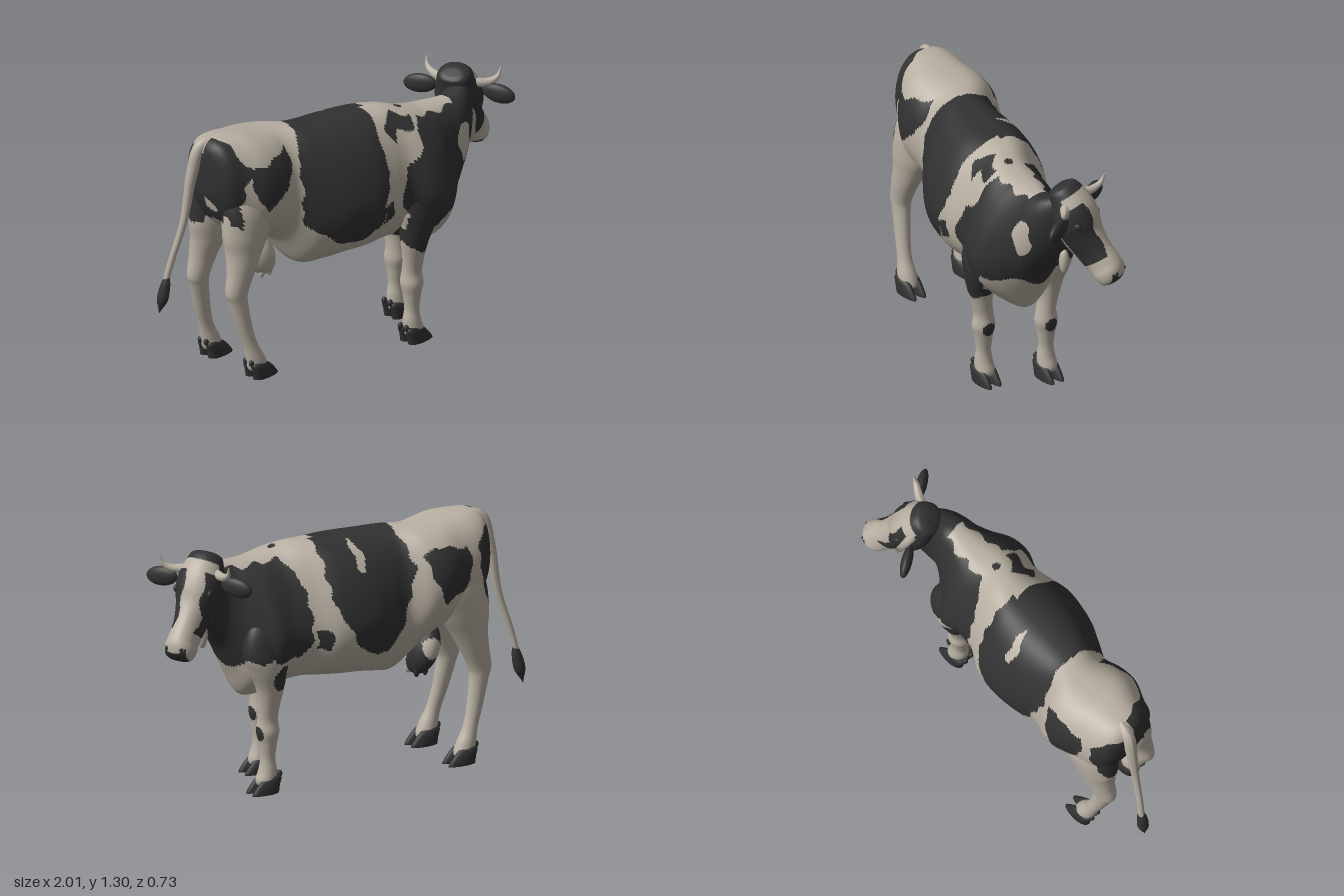
import * as THREE from 'three';

const cream = new THREE.MeshStandardMaterial({ color: 0xb8afa2 });
cream.name = 'cream';
const black = new THREE.MeshStandardMaterial({ color: 0x313131 });
black.name = 'black';

// Smooth interpolation through rows of numbers, t from 0 to 1
function sample(rows, t) {
  const f = t * (rows.length - 1), i = Math.min(Math.floor(f), rows.length - 2), u = f - i;
  const a = rows[Math.max(i - 1, 0)], b = rows[i], c = rows[i + 1], d = rows[Math.min(i + 2, rows.length - 1)];
  return b.map((p, k) => p + 0.5 * u * (c[k] - a[k] + u * (2 * a[k] - 5 * p + 4 * c[k] - d[k] + u * (3 * (p - c[k]) + d[k] - a[k]))));
}

// Closed skin over rings; place(row, angle) gives each point
function loft(rows, steps, sides, place) {
  const pos = [], idx = [];
  for (let i = 0; i <= steps; i++) {
    const row = sample(rows, i / steps);
    for (let j = 0; j < sides; j++) pos.push(...place(row, j / sides * Math.PI * 2));
  }
  for (let i = 0; i < steps; i++) for (let j = 0; j < sides; j++) {
    const a = i * sides + j, b = i * sides + (j + 1) % sides;
    idx.push(a, b, a + sides, b, b + sides, a + sides);
  }
  for (const start of [0, steps * sides]) {
    const centre = [0, 0, 0], c = pos.length / 3;
    for (let j = 0; j < sides; j++) for (let k = 0; k < 3; k++) centre[k] += pos[(start + j) * 3 + k] / sides;
    pos.push(...centre);
    for (let j = 0; j < sides; j++) {
      const a = start + j, b = start + (j + 1) % sides;
      if (start) idx.push(a, b, c); else idx.push(b, a, c);
    }
  }
  // Turn the skin outwards
  const P = (i) => new THREE.Vector3().fromArray(pos, i * 3);
  let volume = 0;
  for (let i = 0; i < idx.length; i += 3) volume += P(idx[i]).dot(P(idx[i + 1]).cross(P(idx[i + 2])));
  if (volume < 0) idx.reverse();
  const g = new THREE.BufferGeometry();
  g.setAttribute('position', new THREE.Float32BufferAttribute(pos, 3));
  g.setIndex(idx);
  g.computeVertexNormals();
  return g;
}

// Sort faces into cream and black by a rule on the face centre
function paint(g, isBlack) {
  const p = g.attributes.position, old = g.index.array, sets = [[], []];
  for (let i = 0; i < old.length; i += 3) {
    const f = [old[i], old[i + 1], old[i + 2]];
    const m = (get) => (get(f[0]) + get(f[1]) + get(f[2])) / 3;
    sets[isBlack(m((k) => p.getX(k)), m((k) => p.getY(k)), m((k) => p.getZ(k))) ? 1 : 0].push(...f);
  }
  g.setIndex([...sets[0], ...sets[1]]);
  g.addGroup(0, sets[0].length, 0);
  g.addGroup(sets[0].length, sets[1].length, 1);
  return g;
}

function add(parent, name, geometry, material) {
  const m = new THREE.Mesh(geometry, material);
  m.name = name;
  parent.add(m);
  return m;
}

function ball(parent, name, material, at, size) {
  const m = add(parent, name, new THREE.SphereGeometry(1, 24, 16), material);
  m.position.set(...at);
  m.scale.set(...size);
  return m;
}

// Tube whose radius follows a list
function taper(points, radii, n = 36) {
  const curve = new THREE.CatmullRomCurve3(points.map((p) => new THREE.Vector3(...p)));
  const g = new THREE.TubeGeometry(curve, n, 1, 12), p = g.attributes.position, v = new THREE.Vector3();
  for (let i = 0; i < p.count; i++) {
    const t = Math.floor(i / 13) / n, c = curve.getPointAt(t);
    v.fromBufferAttribute(p, i).sub(c).multiplyScalar(sample(radii.map((r) => [r]), t)[0]).add(c);
    p.setXYZ(i, v.x, v.y, v.z);
  }
  g.computeVertexNormals();
  return g;
}

// Coat patches as side outlines in x, y
const leftPatches = [
  [[-.83, 1.3], [-.71, 1.28], [-.7, 1.2], [-.66, 1.15], [-.52, 1.18], [-.42, 1.21], [-.43, 1.08], [-.5, 1], [-.58, .93], [-.65, .98], [-.67, 1.12], [-.7, 1.08], [-.73, .85], [-.77, .86], [-.83, 1.1]],
  [[-.38, 1.14], [-.3, 1.3], [.1, 1.3], [.06, 1.1], [.05, 1.05], [.07, .98], [.02, .9], [0, .73], [-.07, .66], [-.18, .65], [-.29, .72], [-.38, .82]],
  [[.12, 1.19], [.2, 1.23], [.29, 1.2], [.29, 1.14], [.2, 1.16], [.16, 1.1]],
  [[.01, .84], [.07, .84], [.07, .75], [.01, .74]],
  [[.2, .98], [.28, 1.05], [.3, 1.13], [.33, 1.19], [.42, 1.175], [.5, 1.17], [.58, 1.18], [.62, 1.3], [.9, 1.3], [.9, .7], [.53, .68], [.42, .71], [.36, .66], [.33, .52], [.28, .5], [.19, .54], [.17, .65], [.19, .72], [.13, .8], [.15, .9]],
];
const rightPatches = [
  [[-.83, 1.23], [-.74, 1.22], [-.68, 1.15], [-.7, 1], [-.76, .8], [-.83, .76]],
  [[-.38, 1.14], [-.45, 1.19], [-.62, 1.16], [-.64, 1.05], [-.58, .95], [-.48, .9], [-.42, 1]],
  [[.12, 1.3], [.13, 1.1], [.11, .95], [.03, .8], [-.05, .7], [-.17, .68], [-.25, .8], [-.3, .95], [-.34, 1.1], [-.3, 1.3]],
  [[.14, .85], [.2, .84], [.2, .74], [.13, .75]],
  [[.62, 1.3], [.58, 1.18], [.5, 1.17], [.3, 1.19], [.24, 1.1], [.22, .95], [.22, .8], [.27, .71], [.42, .7], [.53, .68], [.9, .7], [.9, 1.3]],
];
const spots = [[.46, .31, -.06, .038], [.32, .31, .22, .038], [.36, .61, -.17, .07], [.285, 1.225, .085, .02]];

function inside(poly, x, y) {
  let hit = false;
  poly.forEach(([ax, ay], i) => {
    const [bx, by] = poly[(i + 1) % poly.length];
    if ((ay > y) !== (by > y) && x < ax + (y - ay) / (by - ay) * (bx - ax)) hit = !hit;
  });
  return hit;
}

const oval = (x, y, cx, cy, rx, ry) => ((x - cx) / rx) ** 2 + ((y - cy) / ry) ** 2 < 1;

function coat(left, x, y, z) {
  if (spots.some(([a, b, c, r]) => Math.hypot(x - a, y - b, z - c) < r)) return true;
  x += .008 * Math.sin(y * 47 + z * 20);
  y += .008 * Math.sin(x * 53 + 1);
  // Pointed lower edge across the chest
  if (x > .42 && y < .85) y += .035 * Math.cos((z - .06) * 18);
  if (left && oval(x, y, .6, .99, .05, .1)) return false;
  if (!left && oval(x, y, -.06, 1.17, .025, .07)) return false;
  return (left ? leftPatches : rightPatches).some((p) => inside(p, x, y));
}

// Trunk and neck: x, centre z, half width, top, bottom, narrowing upwards, pinch below
const trunk = [
  [-.81, -.13, .04, 1.2, 1.05, 0, 0], [-.8, -.13, .1, 1.25, .98, 0, 0], [-.765, -.13, .165, 1.285, .88, .02, 0],
  [-.7, -.13, .2, 1.295, .8, .02, 0], [-.6, -.11, .235, 1.29, .74, 0, 0], [-.5, -.115, .25, 1.275, .72, 0, 0],
  [-.4, -.11, .24, 1.265, .66, .06, .1], [-.3, -.05, .245, 1.26, .52, .1, .3], [-.2, -.025, .28, 1.255, .52, .15, .25],
  [-.1, -.01, .3, 1.255, .535, .17, .2], [0, .005, .305, 1.255, .54, .19, .2], [.1, .015, .285, 1.253, .55, .22, .2],
  [.2, .045, .25, 1.248, .55, .25, .25], [.3, .085, .26, 1.222, .52, .28, .4], [.4, .09, .265, 1.2, .48, .28, .55],
  [.48, .095, .21, 1.195, .49, .2, .55], [.54, .105, .155, 1.195, .61, .12, .35], [.6, .11, .125, 1.2, .74, .05, .1],
  [.66, .09, .115, 1.22, .83, 0, 0], [.72, .06, .095, 1.23, .92, 0, 0], [.77, .03, .05, 1.2, 1, 0, 0],
];
// Legs: height, x, half depth, half width, outward shift
const hind = [[1.17, .02, .03, .02, -.09], [1.1, .02, .11, .08, -.07], [.95, .02, .165, .105, -.045], [.8, -.02, .14, .095, -.035],
  [.7, -.045, .105, .08, -.03], [.6, -.075, .08, .062, -.022], [.5, -.105, .064, .05, -.02], [.44, -.1, .052, .045, -.018],
  [.3, -.07, .042, .038, -.01], [.2, -.04, .039, .036, -.003], [.13, -.015, .05, .045, 0], [.08, 0, .055, .05, 0], [.06, .005, .05, .045, 0]];
const fore = [[.95, .03, .03, .02, 0], [.85, .03, .1, .065, .015], [.74, .025, .125, .085, .025], [.65, .015, .1, .085, .025],
  [.55, 0, .072, .068, .02], [.45, 0, .055, .052, .01], [.38, 0, .052, .05, 0], [.32, 0, .058, .059, 0], [.26, 0, .047, .048, 0],
  [.18, 0, .038, .038, 0], [.12, 0, .046, .045, 0], [.07, .01, .053, .05, 0], [.045, .01, .05, .045, 0]];
const claw = [[.088, -.02, .03, .018], [.072, -.005, .054, .027], [.04, .016, .066, .03], [.01, .03, .076, .03], [0, .032, .077, .029]];

function leg(parent, name, rows, x0, y0, z0, lean = 1) {
  const g = new THREE.Group(), left = z0 > 0, side = left ? lean : -lean;
  g.name = name;
  const skin = loft(rows, 90, 40, ([y, x, rx, rz, dz], a) => [x0 + x + rx * Math.cos(a), y, z0 + side * dz + rz * Math.sin(a)]);
  add(g, 'limb', paint(skin, (x, y, z) => coat(left, x, y, z)), [cream, black]);
  for (const s of [-1, 1]) {
    add(g, 'hoofClaw', loft(claw, 12, 20, ([y, x, rx, rz], a) =>
      [x0 + x + rx * Math.cos(a), y0 + y, z0 + s * .029 + rz * Math.sin(a) * (1 - .25 * Math.cos(a))]), black);
    ball(g, 'dewclaw', black, [x0 - .056, y0 + .09, z0 + s * .022], [.014, .018, .013]);
  }
  parent.add(g);
}

// Skull: distance from poll, face offset, half depth, half width
const skullRows = [[-.075, -.01, .025, .04], [-.068, -.008, .05, .065], [-.05, 0, .068, .085], [0, 0, .088, .1], [.07, -.01, .108, .118],
  [.14, -.02, .11, .118], [.21, -.035, .105, .098], [.3, -.03, .095, .077], [.38, -.015, .088, .074], [.43, -.01, .08, .08],
  [.47, -.012, .06, .07], [.486, -.014, .035, .045]];

// Face blaze, forehead band, muzzle, dark nose and pale jaw edge
function headMarks(n, y, z) {
  const t = -y, wave = .008 * Math.sin(t * 40);
  if (t > .44 && Math.abs(z) < .06 && n < .045) return true;
  if (t > .34 + wave) return false;
  if (n < -.09 && t > .06) return false;
  if (t > -.015 && t < .045 && n > .02) return false;
  return !(t > 0 && n > 0 && z > -.07 + wave && z < .03 + wave);
}

export function createModel() {
  const cow = new THREE.Group();
  cow.name = 'cow';

  const centreZ = (x) => trunk.reduce((best, r) => Math.abs(r[0] - x) < Math.abs(best[0] - x) ? r : best)[1];
  const body = loft(trunk, 220, 128, ([x, zc, w, top, bot, k, pinch], a) => {
    const s = Math.sin(a), c = Math.cos(a), low = Math.max(0, -s) ** 2;
    return [x, (top + bot) / 2 + (top - bot) / 2 * s, zc + w * Math.sign(c) * Math.abs(c) ** .8 * (1 - k * s) * (1 - pinch * low)];
  });
  add(cow, 'body', paint(body, (x, y, z) => coat(z > centreZ(x), x, y, z)), [cream, black]);

  leg(cow, 'leftForeleg', fore, .26, 0, .22);
  leg(cow, 'rightForeleg', fore, .4, 0, -.06);
  leg(cow, 'leftHindLeg', hind, -.62, .02, .06, 1.6);
  leg(cow, 'rightHindLeg', hind, -.62, .02, -.28);

  // Udder
  const bag = new THREE.SphereGeometry(1, 40, 28).scale(.075, .14, .115).rotateZ(.35).translate(-.48, .605, -.11);
  add(cow, 'udder', paint(bag, (x, y, z) => z < -.1 && !oval(x, y, -.48, .62, .05, .055)), [cream, black]);
  for (const dx of [-.025, .025]) for (const dz of [-.04, .04])
    ball(cow, 'teat', dz < 0 ? black : cream, [-.45 + dx, .5, -.11 + dz], [.016, .035, .016]);

  // Tail
  add(cow, 'tail', taper([[-.7, 1.265, -.14], [-.79, 1.25, -.165], [-.835, 1.1, -.185], [-.875, .85, -.2], [-.93, .64, -.23], [-.96, .5, -.25]],
    [.03, .032, .025, .019, .017, .016]), cream);
  add(cow, 'tailTuft', taper([[-.945, .57, -.24], [-.965, .46, -.25], [-.985, .36, -.26]], [.012, .026, .028, .002]), black);

  ball(cow, 'throatFlap', cream, [.715, .85, .05], [.027, .068, .026]);

  // Head, turned towards its right
  const head = new THREE.Group();
  head.name = 'head';
  head.position.set(.72, 1.22, .03);
  head.rotation.y = .467;
  cow.add(head);
  const skull = loft(skullRows, 90, 72, ([t, nc, h, w], a) => {
    const c = Math.cos(a), s = Math.sin(a);
    return [nc + h * c, -t, w * Math.sign(s) * Math.abs(s) ** .85 * (1 - .08 * c)];
  });
  const face = add(head, 'skull', paint(skull, headMarks), [cream, black]);
  face.rotation.z = .6;
  for (const s of [-1, 1]) {
    ball(face, 'eye', black, [.03, -.14, s * .096], [.02, .02, .014]);
    ball(face, 'nostril', black, [.048, -.448, s * .038], [.01, .012, .01]);
    const ear = ball(head, 'ear', black, [.044 + s * .014, -.068, s * .205], [.028, .05, .088]);
    ear.rotation.x = s * .12;
    add(head, 'horn', taper([[.02, -.015, s * .07], [.06, -.015, s * .145], [.083, .008, s * .185], [.1, .06, s * .2]],
      [.026, .022, .015, .002], 20), cream);
  }
  return cow;
}
